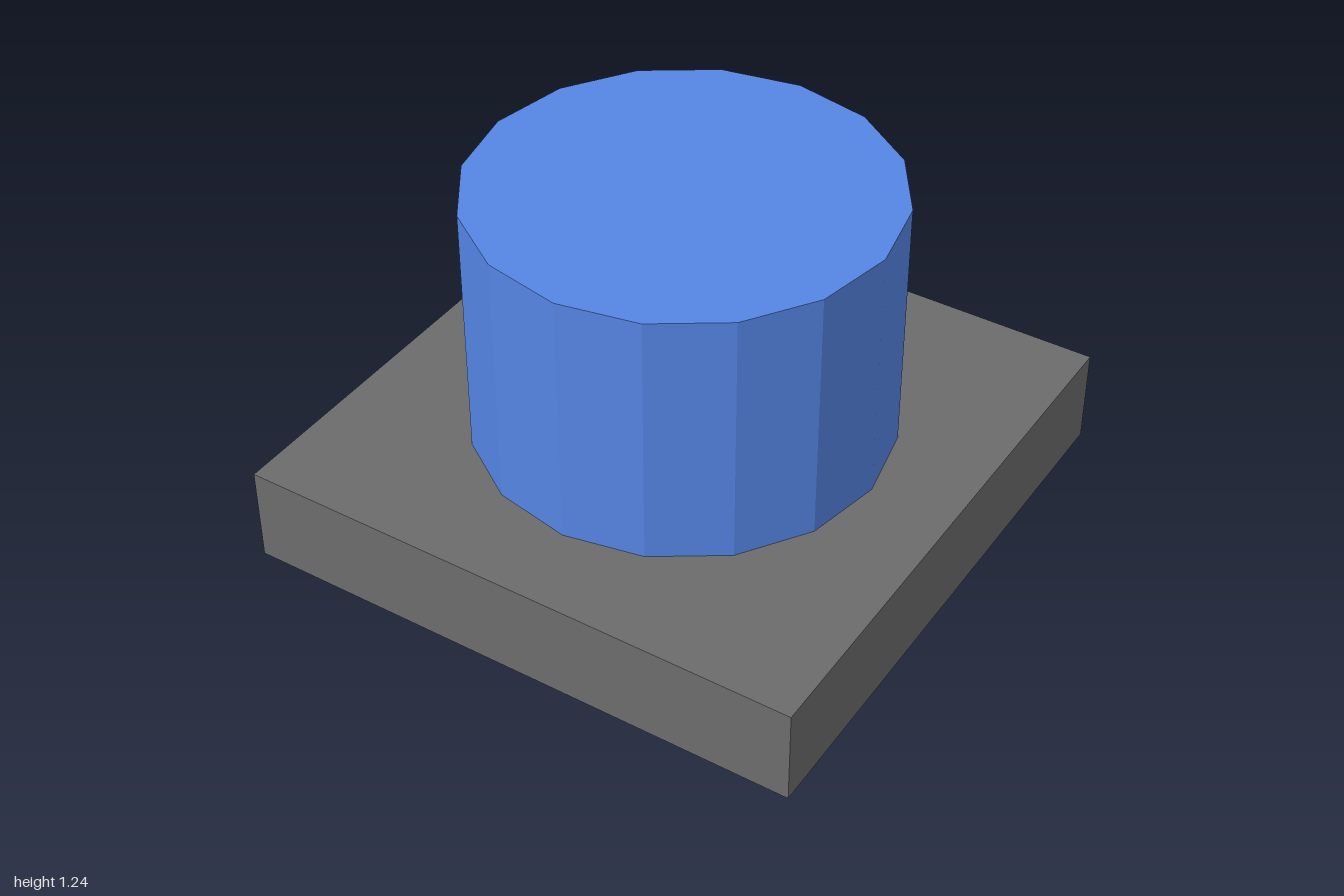
import * as THREE from 'three';

export function createModel() {
  const model = new THREE.Group();
  const baseHeight = 0.34, drumHeight = 0.9;

  const addPart = (name, geometry, color, y) => {
    const material = new THREE.MeshStandardMaterial({ color, flatShading: true });
    const mesh = new THREE.Mesh(geometry, material);
    mesh.name = name;
    mesh.position.y = y;
    model.add(mesh);
  };

  // Square slab
  addPart('base', new THREE.BoxGeometry(2, baseHeight, 2), 0x6c6c6c, baseHeight / 2);

  // Sixteen-sided drum standing on the slab
  addPart('drum', new THREE.CylinderGeometry(0.708, 0.708, drumHeight, 16), 0x5585e4, baseHeight + drumHeight / 2);

  return model;
}
